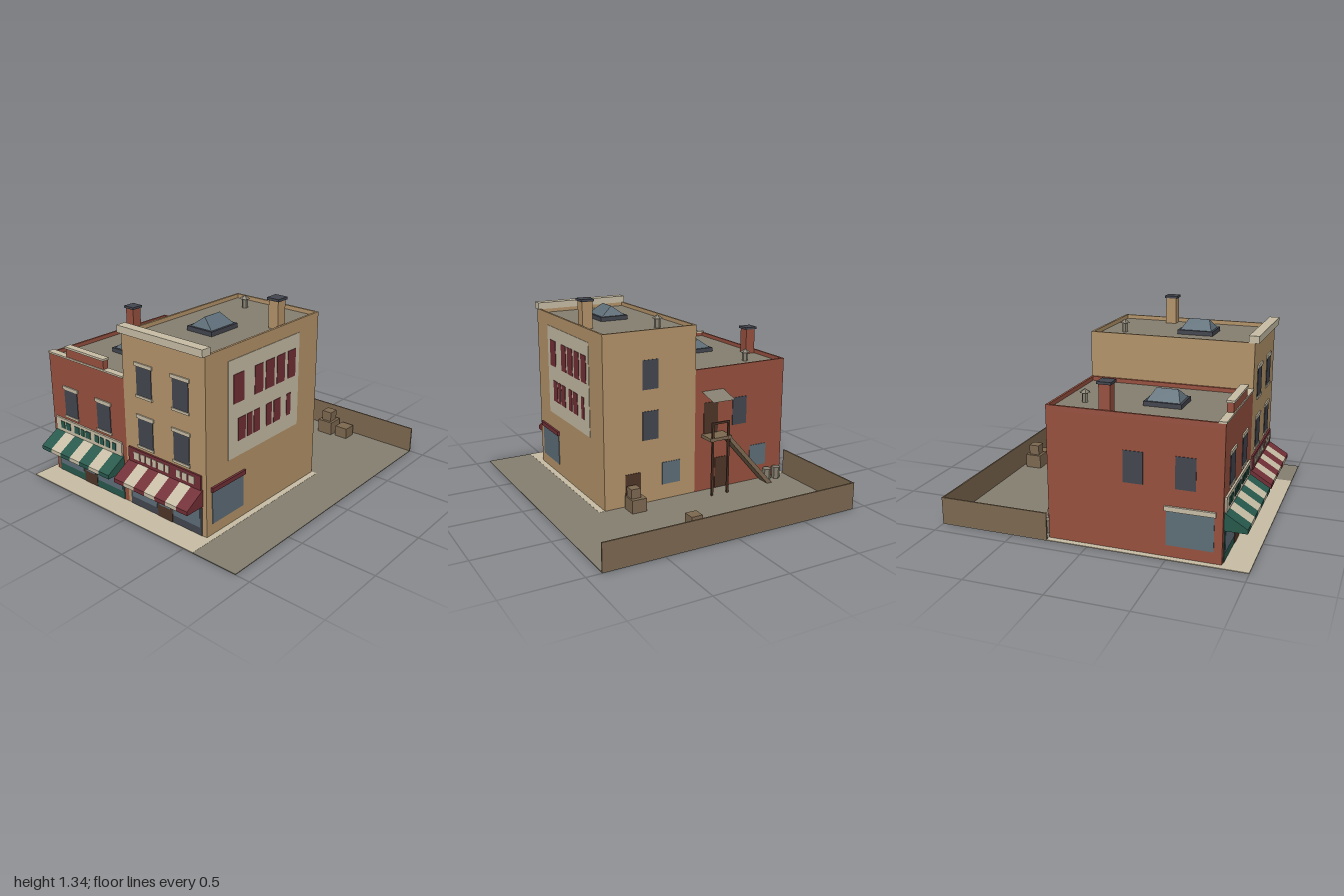
import * as THREE from 'three';

const mat = (name, color, extra = {}) => {
  const m = new THREE.MeshStandardMaterial({ color, ...extra });
  m.name = name;
  return m;
};

export function createModel() {
  const model = new THREE.Group();
  model.name = 'cornerShops';
  const brick = mat('red brick', 0x98513f), tan = mat('tan brick', 0xb4946a);
  const cream = mat('cream', 0xc8bea6), asphalt = mat('asphalt', 0x857f70);
  const green = mat('shop green', 0x28594c), maroon = mat('maroon', 0x722f36);
  const slate = mat('slate', 0x43464f), glass = mat('glass', 0x5e6e78);
  const wood = mat('wood', 0x7d6850), dark = mat('dark wood', 0x4f3528);
  asphalt.side = THREE.DoubleSide;

  const add = (name, geo, m, x = 0, y = 0, z = 0, parent = model) => {
    const mesh = new THREE.Mesh(geo, m);
    mesh.name = name;
    mesh.position.set(x, y, z);
    parent.add(mesh);
    return mesh;
  };
  // box given by its limits on each axis
  const box = (name, m, x0, x1, y0, y1, z0, z1, parent) =>
    add(name, new THREE.BoxGeometry(x1 - x0, y1 - y0, z1 - z0), m,
      (x0 + x1) / 2, (y0 + y1) / 2, (z0 + z1) / 2, parent);
  // plate lying on an outer wall; u runs along x or z, out is its thickness
  const F = 0.83, B = -0.265, L = -0.86, R = 0.535;
  const plate = (name, m, wall, u0, u1, y0, y1, out = 0.004) => {
    if (wall === 'front') return box(name, m, u0, u1, y0, y1, F, F + out);
    if (wall === 'back') return box(name, m, u0, u1, y0, y1, B - out, B);
    if (wall === 'right') return box(name, m, R, R + out, y0, y1, u0, u1);
    return box(name, m, L - out, L, y0, y1, u0, u1);
  };
  // prism with a (z, y) outline, extruded along x
  const prismX = (name, m, pts, x0, x1) => {
    const s = new THREE.Shape(pts.map(([z, y]) => new THREE.Vector2(-z, y)));
    const g = new THREE.ExtrudeGeometry(s, { depth: x1 - x0, bevelEnabled: false });
    g.rotateY(Math.PI / 2);
    return add(name, g, m, x0, 0, 0);
  };

  // ground and fence
  box('sidewalk', cream, -0.9, 0.575, 0, 0.006, B, 1);
  box('yardBack', asphalt, -0.9, 0.9, 0, 0.005, -1, B);
  box('yardSide', asphalt, 0.575, 0.9, 0, 0.005, B, 1);
  box('backFence', wood, -0.9, 0.9, 0.004, 0.183, -1, -0.99);
  box('sideFence', wood, -0.9, -0.89, 0.004, 0.183, -0.99, B);

  // body, parapets, roof and roof fittings of each building
  const building = (name, m, x0, x1, top, chimneyX, skyX, ventX) => {
    const g = new THREE.Group();
    g.name = name;
    model.add(g);
    const roof = top - 0.03, t = 0.015;
    box('walls', m, x0, x1, 0.003, roof, B, F, g);
    box('roof', asphalt, x0 + t, x1 - t, roof, roof + 0.003, B + t, 0.79, g);
    box('leftParapet', m, x0, x0 + t, roof, top, B, 0.79, g);
    box('rightParapet', m, x1 - t, x1, roof, top, B, 0.79, g);
    box('backParapet', m, x0 + t, x1 - t, roof, top, B, B + t, g);
    box('frontParapet', m, x0, x1, roof, top, 0.79, F, g);

    box('chimney', m, chimneyX - 0.036, chimneyX + 0.036, roof, top + 0.152, 0.069, 0.141, g);
    box('chimneyCap', slate, chimneyX - 0.045, chimneyX + 0.045, top + 0.152, top + 0.168, 0.06, 0.15, g);

    box('skylightFrame', slate, skyX - 0.1, skyX + 0.1, roof, top + 0.002, 0.26, 0.5, g);
    // hipped glass: a box whose upper corners draw in to a ridge
    const hip = new THREE.BoxGeometry(0.17, 0.064, 0.21).toNonIndexed();
    const p = hip.attributes.position;
    for (let i = 0; i < p.count; i++) {
      if (p.getY(i) > 0) p.setXYZ(i, p.getX(i) * 0.01, p.getY(i), p.getZ(i) * 0.66);
    }
    hip.computeVertexNormals();
    add('skylightGlass', hip, glass, skyX, top + 0.034, 0.38, g);

    const hex = (geo) => { const n = geo.toNonIndexed(); n.computeVertexNormals(); return n; };
    add('ventPipe', hex(new THREE.CylinderGeometry(0.02, 0.02, 0.075, 6)), asphalt, ventX, roof + 0.0375, -0.1, g);
    add('ventCap', hex(new THREE.ConeGeometry(0.036, 0.025, 6)), asphalt, ventX, top + 0.047, -0.1, g);
  };
  building('brickBuilding', brick, L, -0.14, 0.865, -0.808, -0.505, -0.645);
  building('tanBuilding', tan, -0.14, R, 1.167, 0.478, 0.193, 0.058);

  // cornices
  box('tanCornice', cream, -0.146, 0.54, 1.165, 1.212, 0.79, 0.857);
  box('brickCornice', cream, -0.863, -0.142, 0.862, 0.874, 0.787, 0.836);
  box('brickGable', brick, -0.68, -0.32, 0.874, 0.932, 0.79, 0.83);
  box('brickGableCap', cream, -0.687, -0.313, 0.932, 0.946, 0.786, 0.836);

  // front windows with lintel and sill
  const frontWindow = (x, y) => {
    plate('window', slate, 'front', x - 0.063, x + 0.063, y, y + 0.2);
    plate('lintel', cream, 'front', x - 0.074, x + 0.074, y + 0.197, y + 0.22, 0.009);
    plate('sill', cream, 'front', x - 0.07, x + 0.07, y - 0.006, y + 0.01, 0.009);
  };
  for (const x of [-0.662, -0.341, 0.042, 0.342]) frontWindow(x, 0.44);
  for (const x of [0.042, 0.342]) frontWindow(x, 0.78);

  // shop fronts: base, glass, door, sign board with blocks, striped awning
  const shop = (x0, x1, base, board, blockMat, stripe, blocks) => {
    const c = (x0 + x1) / 2, w = x1 - x0;
    plate('shopFront', base, 'front', x0, x1, 0.006, 0.33, 0.004);
    const pane = w / 2 - 0.087;
    for (const s of [-1, 1]) {
      const a = c + s * 0.072, b = c + s * (0.072 + pane);
      plate('shopGlass', glass, 'front', Math.min(a, b), Math.max(a, b), 0.06, 0.24, 0.007);
    }
    plate('shopDoor', dark, 'front', c - 0.062, c + 0.062, 0.006, 0.24, 0.007);
    plate('shopDoorGlass', glass, 'front', c - 0.044, c + 0.044, 0.09, 0.24, 0.01);
    plate('signBoard', board, 'front', x0, x1, 0.32, 0.415, 0.012);
    for (const [a, b] of blocks) plate('signBlock', blockMat, 'front', a, b, 0.345, 0.395, 0.016);
    const a0 = x0 - 0.007, sw = (w + 0.014) / 7;
    for (let i = 0; i < 7; i++) {
      prismX('awningStripe', i % 2 ? cream : stripe,
        [[F, 0.21], [0.97, 0.21], [0.97, 0.237], [F, 0.322]], a0 + i * sw, a0 + (i + 1) * sw);
    }
  };
  shop(-0.827, -0.177, green, cream, green, green,
    [[-0.773, -0.735], [-0.72, -0.677], [-0.634, -0.586], [-0.571, -0.537], [-0.523, -0.475],
      [-0.431, -0.393], [-0.378, -0.345], [-0.325, -0.287], [-0.263, -0.229]]);
  shop(-0.112, 0.5, slate, maroon, cream, maroon,
    [[-0.06, -0.012], [0.002, 0.036], [0.05, 0.089], [0.104, 0.137], [0.152, 0.2],
      [0.214, 0.243], [0.306, 0.34], [0.354, 0.393], [0.407, 0.451]]);

  // painted panel and shop window on the right wall
  plate('wallPanel', cream, 'right', -0.06, 0.635, 0.447, 1.08, 0.003);
  const rows = [
    [0.8, 0.985, [[0.492, 0.588], [0.31, 0.39], [0.198, 0.283], [0.091, 0.171], [-0.021, 0.059]]],
    [0.547, 0.697, [[0.476, 0.545], [0.412, 0.46], [0.337, 0.396], [0.219, 0.273], [0.128, 0.198], [0.021, 0.064]]],
  ];
  for (const [y0, y1, cols] of rows) {
    for (const [a, b] of cols) plate('panelBlock', maroon, 'right', a, b, y0, y1, 0.006);
  }
  plate('sideShopGlass', glass, 'right', 0.49, 0.78, 0.08, 0.31);
  plate('sideShopBoard', maroon, 'right', 0.48, 0.79, 0.3, 0.33, 0.015);

  // left wall
  for (const z of [0.285, 0.605]) plate('sideWindow', slate, 'left', z - 0.062, z + 0.062, 0.44, 0.64);
  plate('sideShopGlass', glass, 'left', 0.49, 0.78, 0.08, 0.31);
  plate('sideShopBoard', cream, 'left', 0.48, 0.79, 0.3, 0.33, 0.015);

  // back wall
  for (const [x, y] of [[0.2, 0.78], [0.2, 0.44], [-0.495, 0.44]]) {
    plate('backWindow', slate, 'back', x - 0.057, x + 0.057, y, y + 0.195);
  }
  for (const x of [0.045, -0.658]) plate('backShopGlass', glass, 'back', x - 0.068, x + 0.068, 0.11, 0.265);
  for (const [x, y] of [[0.33, 0.006], [-0.357, 0.006], [-0.263, 0.41]]) {
    plate('backDoor', dark, 'back', x - 0.056, x + 0.056, y, y + 0.22);
  }

  // outside stair with landing, posts, rail and canopy
  box('landing', wood, -0.36, -0.19, 0.39, 0.412, -0.382, B);
  for (const x of [-0.335, -0.212]) box('landingPost', dark, x - 0.007, x + 0.007, 0.005, 0.52, -0.382, -0.368);
  box('landingRail', dark, -0.342, -0.205, 0.507, 0.52, -0.382, -0.368);
  const flight = new THREE.Shape([[-0.71, 0.005], [-0.67, 0.005], [-0.35, 0.37], [-0.35, 0.41]]
    .map(([x, y]) => new THREE.Vector2(x, y)));
  add('stairFlight', new THREE.ExtrudeGeometry(flight, { depth: 0.1, bevelEnabled: false }), wood, 0, 0, -0.38);
  const canopy = add('canopy', new THREE.PlaneGeometry(0.17, 0.15), asphalt, -0.275, 0.69, -0.338);
  canopy.rotation.x = -Math.PI / 2 - 0.28;

  // bins and crates in the yard
  for (const x of [-0.79, -0.71]) {
    const bin = new THREE.CylinderGeometry(0.032, 0.028, 0.085, 6).toNonIndexed();
    bin.computeVertexNormals();
    add('bin', bin, asphalt, x, 0.0475, -0.315);
  }
  const crate = (x, y, z, w, h) => box('crate', wood, x - w / 2, x + w / 2, y, y + h, z - w / 2, z + w / 2);
  crate(0.252, 0.005, -0.9, 0.116, 0.098);
  crate(0.252, 0.103, -0.9, 0.076, 0.072);
  crate(0.385, 0.005, -0.908, 0.096, 0.078);
  crate(0.347, 0.005, -0.338, 0.106, 0.09);
  crate(0.357, 0.095, -0.328, 0.068, 0.064);

  return model;
}
